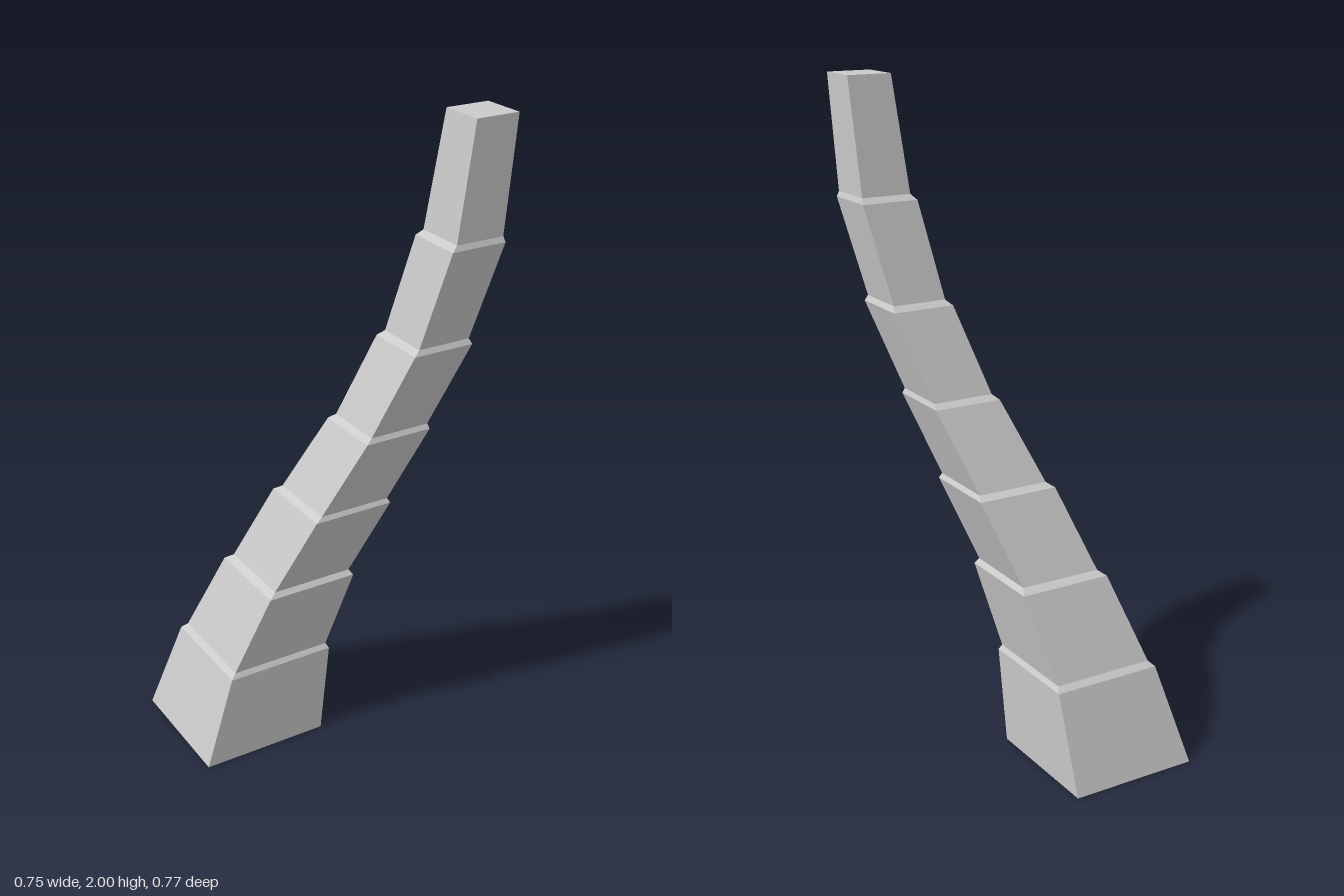
import * as THREE from 'three';

// Rings of the leaning trunk: [height, xMin, xMax, zMin, zMax].
// Each segment flares to a lip, then steps in along a narrow bevel.
const RINGS = [
  [0, -0.377, 0.022, -0.383, 0.016],
  [0.303, -0.298, 0.040, -0.304, 0.034],
  [0.319, -0.282, 0.032, -0.288, 0.026],
  [0.578, -0.192, 0.092, -0.198, 0.086],
  [0.594, -0.171, 0.081, -0.177, 0.076],
  [0.839, -0.082, 0.166, -0.085, 0.163],
  [0.853, -0.062, 0.158, -0.065, 0.157],
  [1.091, 0.033, 0.240, 0.033, 0.241],
  [1.106, 0.050, 0.235, 0.050, 0.235],
  [1.360, 0.128, 0.315, 0.131, 0.318],
  [1.376, 0.145, 0.307, 0.147, 0.312],
  [1.656, 0.198, 0.366, 0.202, 0.372],
  [1.672, 0.213, 0.361, 0.216, 0.367],
  [2, 0.246, 0.377, 0.252, 0.383],
];

// Skin square rings with flat faces and close both ends
function loftSquares(rings) {
  const positions = [];
  const index = [];
  for (const [y, x0, x1, z0, z1] of rings) {
    positions.push(x0, y, z1, x1, y, z1, x1, y, z0, x0, y, z0);
  }
  for (let r = 0; r < rings.length - 1; r++) {
    for (let i = 0; i < 4; i++) {
      const a = r * 4 + i;
      const b = r * 4 + (i + 1) % 4;
      index.push(a, b, b + 4, a, b + 4, a + 4);
    }
  }
  const t = (rings.length - 1) * 4;
  index.push(0, 2, 1, 0, 3, 2); // underside
  index.push(t, t + 1, t + 2, t, t + 2, t + 3); // top
  const geometry = new THREE.BufferGeometry();
  geometry.setAttribute('position', new THREE.Float32BufferAttribute(positions, 3));
  geometry.setIndex(index);
  const flat = geometry.toNonIndexed();
  flat.computeVertexNormals();
  return flat;
}

export function createModel() {
  const group = new THREE.Group();
  group.name = 'palmTrunk';
  const material = new THREE.MeshStandardMaterial({ color: 0xcccccc, flatShading: true });
  const trunk = new THREE.Mesh(loftSquares(RINGS), material);
  trunk.name = 'trunk';
  group.add(trunk);
  return group;
}
